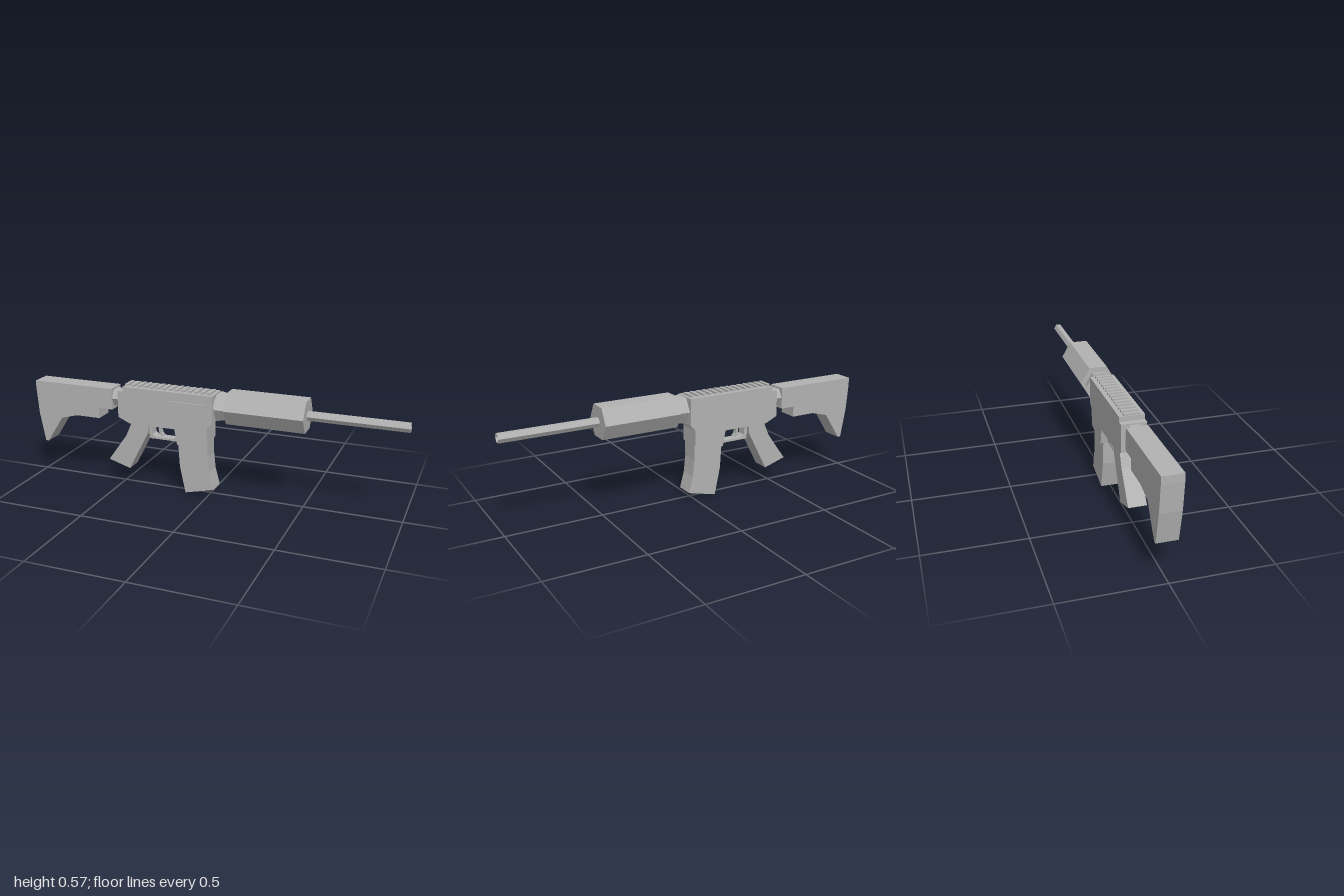
import * as THREE from 'three';

export function createModel() {
  const model = new THREE.Group();
  model.name = 'rifle';
  const grey = new THREE.MeshStandardMaterial({ color: 0xb2b2b2 });
  grey.name = 'grey';

  const add = (name, geometry, parent = model) => {
    const mesh = new THREE.Mesh(geometry, grey);
    mesh.name = name;
    parent.add(mesh);
    return mesh;
  };

  const path = (pts, Type) => new Type(pts.map(([x, y]) => new THREE.Vector2(x, y)));

  // Side profile in x, y, extruded evenly about z = 0
  const slab = (name, pts, halfWidth, hole) => {
    const shape = path(pts, THREE.Shape);
    if (hole) shape.holes.push(path(hole, THREE.Path));
    const g = new THREE.ExtrudeGeometry(shape, { depth: 2 * halfWidth, bevelEnabled: false });
    return add(name, g.translate(0, 0, -halfWidth));
  };

  // Six-sided bar along x, with corners pointing to the sides
  const hexBar = (name, x0, x1, r0, r1, y) => {
    const g = new THREE.CylinderGeometry(r1, r0, x1 - x0, 6).toNonIndexed();
    g.rotateZ(-Math.PI / 2).translate((x0 + x1) / 2, y, 0);
    g.computeVertexNormals();
    return add(name, g);
  };

  // Shoulder stock and the tube joining it to the body
  slab('stock', [[-1, 0.53], [-1, 0.49], [-0.99, 0.35], [-0.962, 0.19], [-0.945, 0.19],
    [-0.85, 0.335], [-0.755, 0.36], [-0.62, 0.36], [-0.62, 0.417], [-0.54, 0.417], [-0.54, 0.53]], 0.052);
  hexBar('stockTube', -0.545, -0.495, 0.05, 0.05, 0.477);

  // Body with the magazine well
  slab('receiver', [[-0.5, 0.527], [-0.5, 0.385], [-0.435, 0.355], [-0.18, 0.355], [-0.165, 0.272],
    [0, 0.3], [0, 0.384], [0.028, 0.408], [0.028, 0.552], [-0.47, 0.552], [-0.47, 0.527]], 0.062);
  add('portCover', new THREE.BoxGeometry(0.195, 0.03, 0.02).translate(-0.106, 0.49, 0.06));

  // Toothed rail along the top
  const rail = new THREE.Group();
  rail.name = 'topRail';
  model.add(rail);
  for (let i = 0; i < 14; i++) {
    add('railTooth', new THREE.BoxGeometry(0.018, 0.018, 0.08).translate(-0.457 + i * 0.0353, 0.553, 0), rail);
  }

  // Pistol grip, trigger and guard
  slab('grip', [[-0.43, 0.36], [-0.465, 0.28], [-0.572, 0.132], [-0.45, 0.095], [-0.34, 0.305], [-0.335, 0.36]], 0.046);
  slab('triggerGuard', [[-0.345, 0.358], [-0.335, 0.275], [-0.17, 0.275], [-0.17, 0.358]], 0.025,
    [[-0.322, 0.35], [-0.32, 0.3], [-0.305, 0.286], [-0.2, 0.286], [-0.187, 0.302], [-0.187, 0.34], [-0.195, 0.35]]);
  slab('trigger', [[-0.28, 0.356], [-0.292, 0.325], [-0.287, 0.3], [-0.272, 0.288],
    [-0.262, 0.29], [-0.275, 0.308], [-0.278, 0.325], [-0.262, 0.356]], 0.012);

  // Curved magazine
  slab('magazine', [[-0.165, 0.28], [-0.157, 0.15], [-0.127, 0.004], [0.03, 0.042],
    [0.007, 0.13], [-0.002, 0.22], [-0.001, 0.31], [-0.1, 0.31]], 0.048);

  // Neck, collar and handguard
  hexBar('neck', 0.02, 0.05, 0.05, 0.05, 0.487);
  hexBar('collar', 0.042, 0.098, 0.079, 0.067, 0.488);
  hexBar('handguard', 0.097, 0.505, 0.092, 0.092, 0.492);

  // Barrel: hollow hexagon extruded along x
  const hexRing = (r) => Array.from({ length: 6 }, (_, i) =>
    [r * Math.cos(i * Math.PI / 3), r * Math.sin(i * Math.PI / 3)]);
  const ring = path(hexRing(0.025), THREE.Shape);
  ring.holes.push(path(hexRing(0.02), THREE.Path));
  const barrel = new THREE.ExtrudeGeometry(ring, { depth: 0.5, bevelEnabled: false });
  add('barrel', barrel.rotateY(Math.PI / 2).translate(0.5, 0.491, 0));

  return model;
}
